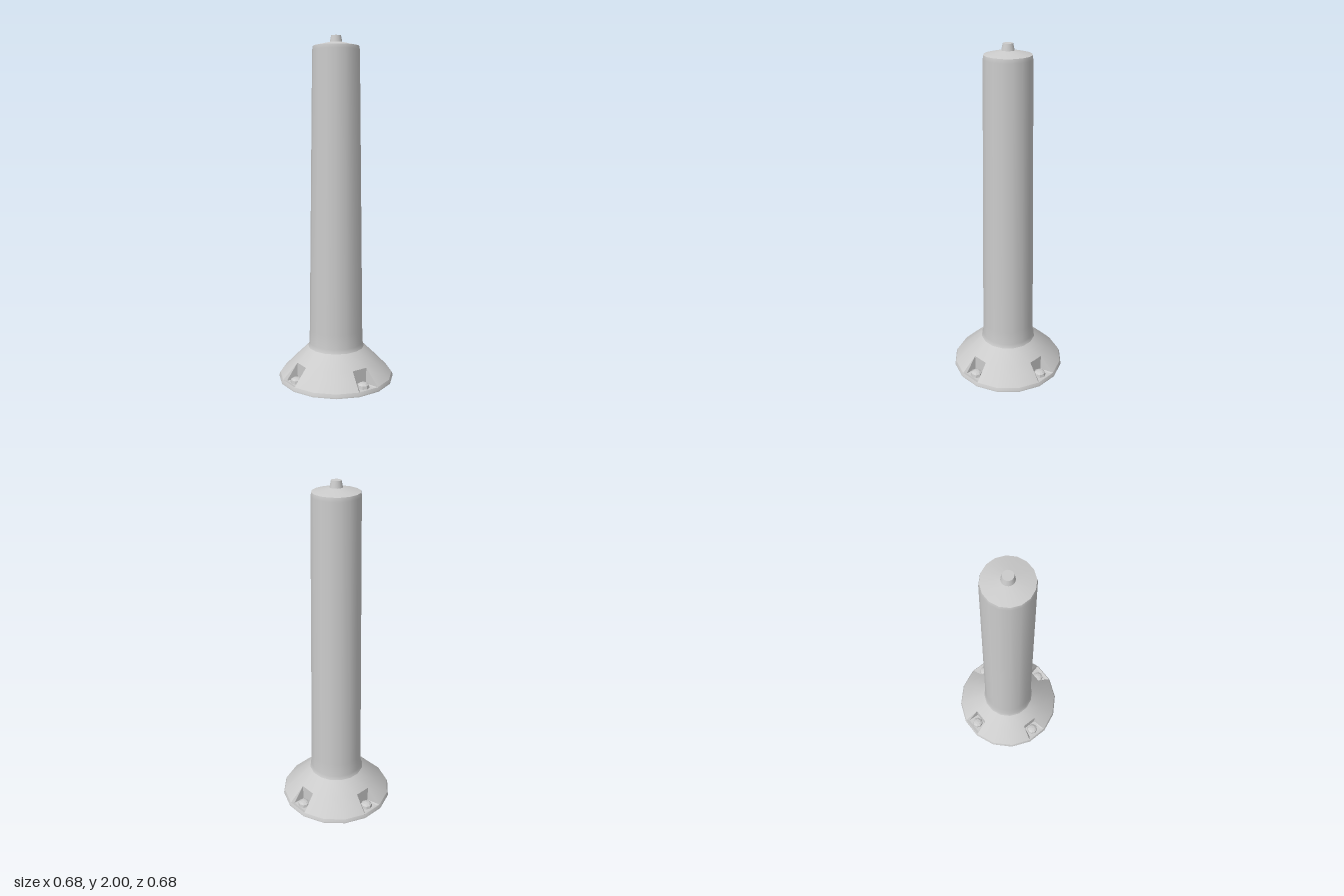
import * as THREE from 'three';

const SIDES = 16;
const material = new THREE.MeshStandardMaterial({ color: 0xcccccc, side: THREE.DoubleSide });
const flatMaterial = new THREE.MeshStandardMaterial({ color: 0xcccccc, side: THREE.DoubleSide, flatShading: true });

function lathe(name, profile, sides = SIDES, mat = material) {
  const points = profile.map(([r, y]) => new THREE.Vector2(r, y));
  const mesh = new THREE.Mesh(new THREE.LatheGeometry(points, sides), mat);
  mesh.name = name;
  return mesh;
}

// Removes one band of the skirt in every fourth facet, leaving the pocket openings
function cutOpenings(geometry, bands, cutBand) {
  const old = geometry.index.array;
  const kept = [];
  for (let s = 0; s < SIDES; s++) {
    for (let b = 0; b < bands; b++) {
      if (s % 4 === 2 && b === cutBand) continue;
      const start = (s * bands + b) * 6;
      kept.push(...old.slice(start, start + 6));
    }
  }
  geometry.setIndex(kept);
}

// Recessed box in a skirt facet: local +z points outward
function pocketGeometry(outer, inner) {
  const half = Math.PI / SIDES;
  const corner = ([r, y], side) => [side * r * Math.sin(half), y, r * Math.cos(half)];
  const rim = [corner(outer, -1), corner(outer, 1), corner(inner, 1), corner(inner, -1)];
  const floor = [[-0.05, 0.02, 0.312], [0.05, 0.02, 0.312], [0.046, 0.02, 0.241], [-0.046, 0.02, 0.241]];
  const positions = [];
  const quad = (a, b, c, d) => positions.push(...a, ...b, ...c, ...a, ...c, ...d);
  quad(...floor);
  for (let i = 0; i < 4; i++) {
    const j = (i + 1) % 4;
    quad(rim[i], rim[j], floor[j], floor[i]);
  }
  const geometry = new THREE.BufferGeometry();
  geometry.setAttribute('position', new THREE.Float32BufferAttribute(positions, 3));
  geometry.computeVertexNormals();
  return geometry;
}

export function createModel() {
  const model = new THREE.Group();
  model.name = 'bollard';

  // Flared base skirt, open underneath
  const outer = [0.335, 0.024];
  const inner = [0.246, 0.115];
  const skirt = lathe('baseSkirt', [outer, inner, [0.167, 0.192]]);
  cutOpenings(skirt.geometry, 2, 0);
  model.add(skirt);
  model.add(lathe('baseRim', [[0.342, 0], [0.342, 0.008], outer]));

  // Tapered column
  model.add(lathe('column', [[0.167, 0.192], [0.159, 0.215], [0.157, 0.3], [0.135, 1.92], [0.131, 1.942]]));

  // Shallow cap and top knob
  model.add(lathe('cap', [[0.131, 1.942], [0.034, 1.964], [0, 1.964]]));
  const knob = new THREE.Mesh(new THREE.CylinderGeometry(0.028, 0.036, 0.04, SIDES), material);
  knob.name = 'topKnob';
  knob.position.y = 1.98;
  model.add(knob);

  // Four anchor pockets with domed bolts
  const pocketShape = pocketGeometry(outer, inner);
  for (let i = 0; i < 4; i++) {
    const anchor = new THREE.Group();
    anchor.name = 'anchor';
    const pocket = new THREE.Mesh(pocketShape, flatMaterial);
    pocket.name = 'anchorPocket';
    const bolt = lathe('anchorBolt', [[0.036, 0], [0.033, 0.018], [0.02, 0.026], [0, 0.029]], 8, flatMaterial);
    bolt.position.set(0, 0.021, 0.277);
    anchor.add(pocket, bolt);
    anchor.rotation.y = (2.5 / SIDES + i / 4) * Math.PI * 2;
    model.add(anchor);
  }
  return model;
}
